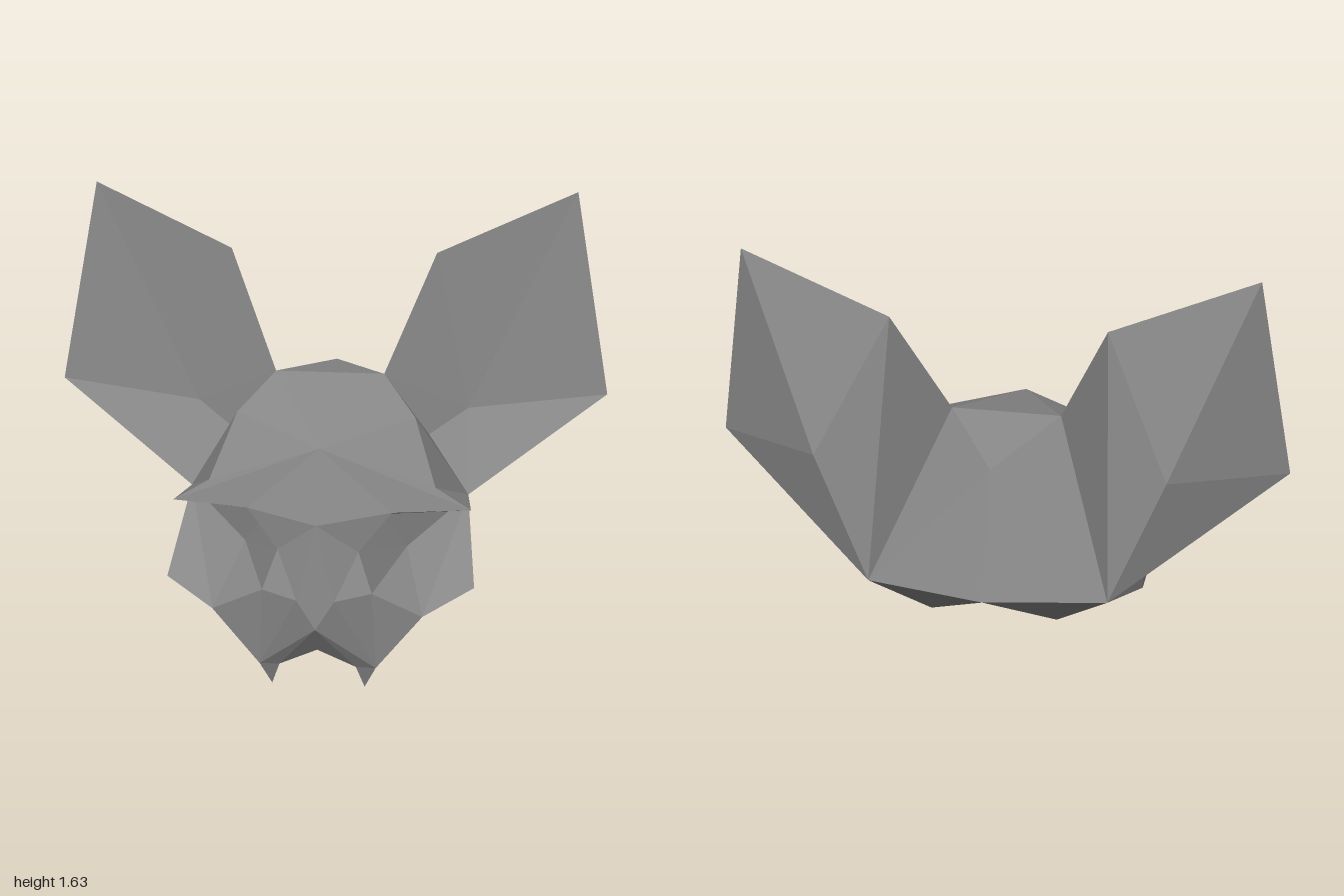
import * as THREE from 'three';

// Corner points of the model's left half (+x)
const P = {
  // skull
  crown: [0, 1.005, -0.06], crownSide: [0.195, 1.005, -0.06], forehead: [0, 0.89, 0.37],
  temple: [0.315, 0.91, 0.11], browSide: [0.395, 0.72, 0.28], browOuter: [0.52, 0.648, 0.3],
  browInner: [0.25, 0.66, 0.37], bridge: [0, 0.66, 0.495], crownBack: [0, 0.94, -0.375],
  nape: [0, 0.51, -0.535], napeSide: [0.42, 0.505, -0.455],
  // ear
  earTip: [0.86, 1.635, -0.26], earInner: [0.37, 1.41, -0.225], earOuter: [1, 0.91, -0.17],
  earBase: [0.51, 0.555, -0.03], earRoot: [0.36, 0.755, -0.11], earHollow: [0.5, 0.83, -0.195],
  earBack: [0.6, 0.97, -0.43],
  // eye socket and muzzle
  eyeTop: [0.2, 0.57, 0.195], eyeBottom: [0.295, 0.41, 0.12], eyeInner: [0.14, 0.535, 0.43],
  muzzle: [0.19, 0.4, 0.476], nostril: [0.065, 0.395, 0.537], noseTip: [0, 0.285, 0.54],
  lip: [0, 0.165, 0.465],
  // cheek and jaw
  cheek: [0.54, 0.38, 0.365], cheekFront: [0.365, 0.318, 0.475], jawSide: [0.505, 0.32, -0.045],
  chin: [0, 0.23, -0.06], throatSide: [0.227, 0.327, -0.32], throat: [0, 0.41, -0.275],
  // fang
  fangOuter: [0.205, 0.095, 0.455], fangInner: [0.135, 0.095, 0.452],
  fangBack: [0.165, 0.105, 0.39], fangTip: [0.165, 0, 0.425],
};

// Each part is a list of triangle fans: hub first, then its rim
const PARTS = {
  forehead: ['forehead bridge browInner browOuter browSide temple crownSide crown'],
  temple: ['temple browSide earBase earRoot crownSide', 'browSide browOuter earBase'],
  backOfHead: ['crownBack crown crownSide napeSide nape'],
  earFront: ['earHollow earTip earInner crownSide earRoot earBase earOuter earTip'],
  earRear: ['napeSide crownSide earInner earBack earOuter earBase', 'earBack earInner earTip earOuter'],
  eyeSocket: ['eyeTop earBase browOuter browInner eyeInner eyeBottom earBase',
    'eyeBottom eyeInner muzzle cheekFront earBase'],
  muzzle: ['nostril muzzle eyeInner bridge noseTip fangOuter muzzle', 'eyeInner browInner bridge',
    'fangOuter cheekFront muzzle', 'fangInner fangOuter noseTip lip'],
  cheek: ['earBase cheekFront cheek jawSide napeSide', 'cheekFront fangOuter jawSide cheek'],
  jaw: ['chin throat throatSide jawSide fangOuter fangBack fangInner lip',
    'throatSide throat nape napeSide jawSide'],
  fang: ['fangTip fangOuter fangInner fangBack fangOuter'],
};

// Flat-faceted geometry from fans; side = -1 mirrors it in x and reverses the corners
function fanGeometry(fans, side) {
  const pos = [];
  for (const fan of fans) {
    const [hub, ...rim] = fan.split(' ');
    for (let i = 0; i + 1 < rim.length; i++) {
      const tri = side > 0 ? [hub, rim[i], rim[i + 1]] : [hub, rim[i + 1], rim[i]];
      for (const name of tri) {
        const [x, y, z] = P[name];
        pos.push(x * side, y, z);
      }
    }
  }
  const geo = new THREE.BufferGeometry();
  geo.setAttribute('position', new THREE.Float32BufferAttribute(pos, 3));
  geo.computeVertexNormals();
  return geo;
}

export function createModel() {
  const grey = new THREE.MeshStandardMaterial({ color: 0x888888, flatShading: true });
  grey.name = 'grey';
  const model = new THREE.Group();
  model.name = 'batHead';
  for (const [side, label] of [[1, 'left'], [-1, 'right']]) {
    const half = new THREE.Group();
    half.name = label + 'Half';
    for (const [part, fans] of Object.entries(PARTS)) {
      const mesh = new THREE.Mesh(fanGeometry(fans, side), grey);
      mesh.name = label + part[0].toUpperCase() + part.slice(1);
      half.add(mesh);
    }
    model.add(half);
  }
  return model;
}
